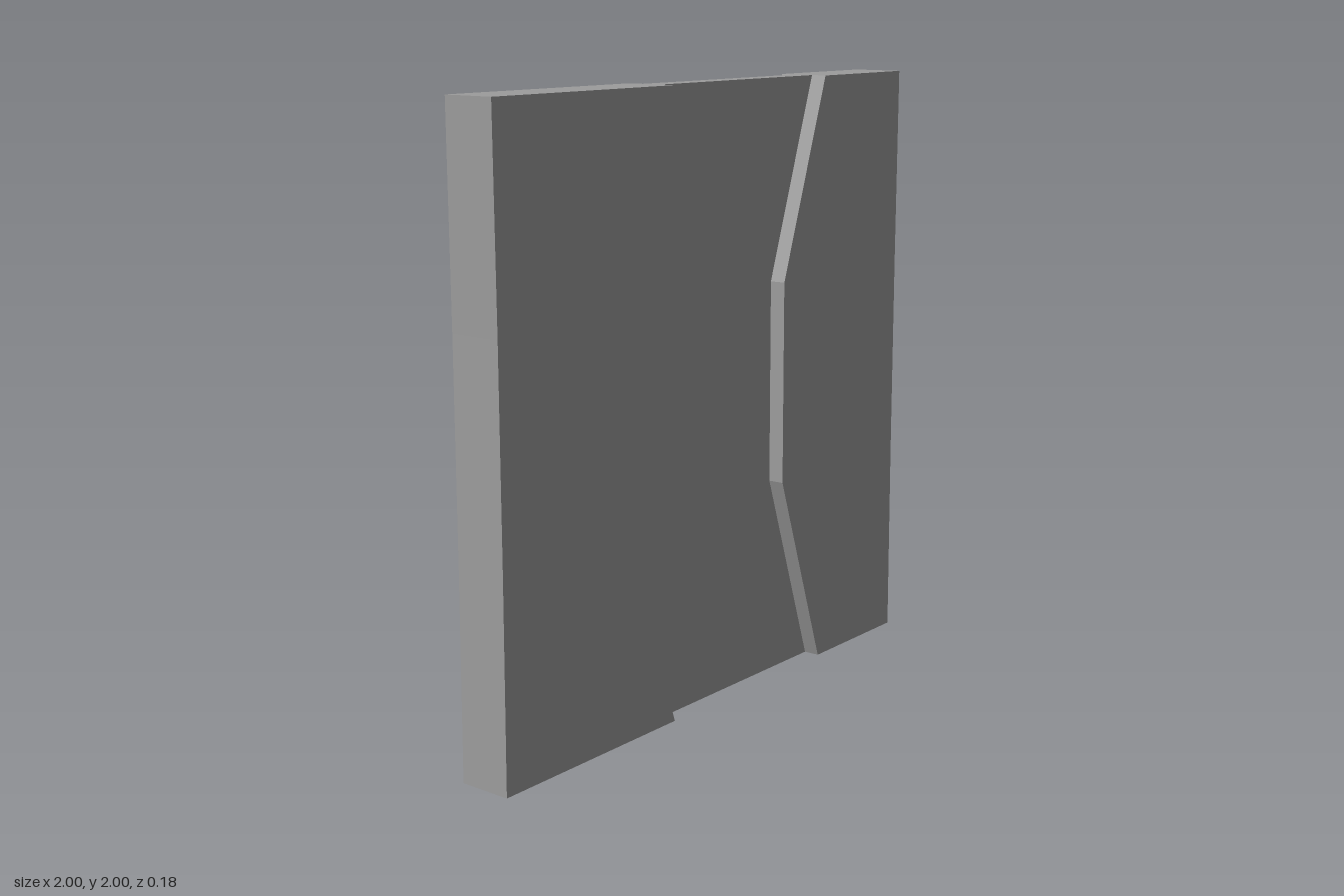
import * as THREE from 'three';

const T = 0.088;           // half thickness of the side panels
const WEB = 0.035;         // half thickness of the recessed middle
const LEFT_LEAN = 0.008;   // lean of the channel wall at -x
const RIGHT_LEAN = 0.002;  // lean of the channel wall at +x

// Height, channel edges (left x, right x) and half width of each cross-section
const LEVELS = [
  [0, -0.235, 0.555, 1],
  [0.665, -0.454, 0.336, 0.996],
  [1.34, -0.454, 0.336, 0.996],
  [2, -0.235, 0.555, 1],
];

// Outline seen from above: along the front, then back along the rear
function outline(l, r, end) {
  const front = [
    [-end, T], [l, T], [l + LEFT_LEAN, WEB],
    [r - RIGHT_LEAN, WEB], [r, T], [end, T],
  ];
  const rear = front.map(([x, z]) => [x, -z]).reverse();
  return [...front, ...rear];
}

function panelGeometry() {
  const rings = LEVELS.map(([y, l, r, end]) =>
    outline(l, r, end).map(([x, z]) => new THREE.Vector3(x, y, z)));
  const n = rings[0].length;
  const points = [];

  // Faces between neighbouring cross-sections
  for (let k = 0; k < rings.length - 1; k++) {
    const low = rings[k], high = rings[k + 1];
    for (let i = 0; i < n; i++) {
      const j = (i + 1) % n;
      points.push(low[i], low[j], high[j], low[i], high[j], high[i]);
    }
  }

  // Bottom and top ends
  const bottom = rings[0], top = rings[rings.length - 1];
  const flat = top.map((p) => new THREE.Vector2(p.x, -p.z));
  for (const [a, b, c] of THREE.ShapeUtils.triangulateShape(flat, [])) {
    points.push(top[a], top[b], top[c], bottom[a], bottom[c], bottom[b]);
  }

  const geometry = new THREE.BufferGeometry().setFromPoints(points);
  geometry.computeVertexNormals();
  return geometry;
}

export function createModel() {
  const group = new THREE.Group();
  group.name = 'channelledPanel';
  const material = new THREE.MeshStandardMaterial({ color: 0x9c9c9c, flatShading: true });

  // Slab with a bent channel down both faces
  const panel = new THREE.Mesh(panelGeometry(), material);
  panel.name = 'panel';
  group.add(panel);
  return group;
}
